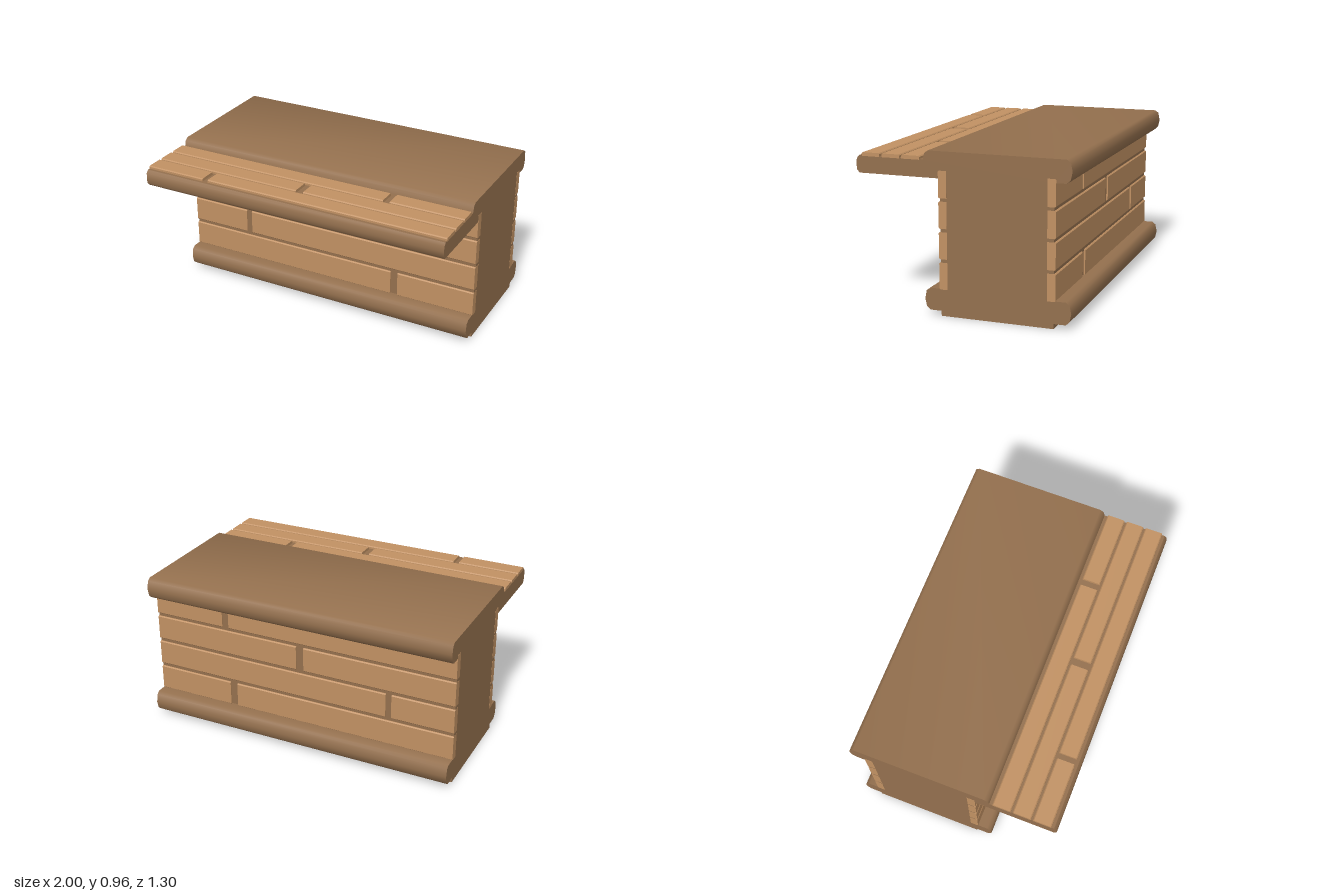
import * as THREE from 'three';
import { toCreasedNormals } from 'three/addons/utils/BufferGeometryUtils.js';

const stone = new THREE.MeshStandardMaterial({ color: 0x94704e });
stone.name = 'dark stone';
const brick = new THREE.MeshStandardMaterial({ color: 0xc19163 });
brick.name = 'light brick';

// Extrudes a cross-section of [z, y] points along x, from x0 to x1.
function prism(points, x0, x1) {
  const shape = new THREE.Shape(points.map(([z, y]) => new THREE.Vector2(-z, y)));
  const geometry = new THREE.ExtrudeGeometry(shape, { depth: x1 - x0, bevelEnabled: false });
  return geometry.rotateY(Math.PI / 2).translate(x0, 0, 0);
}

// Brick cross-section: a is the row direction, b runs from the buried to the exposed face.
function brickSection(a0, a1, b0, b1) {
  const c = 0.006, s = Math.sign(b1 - b0);
  return [[a0, b0], [a1, b0], [a1, b1 - s * c], [a1 - c, b1], [a0 + c, b1], [a0, b1 - s * c]];
}

// One row of two bricks with a joint between them.
function addRow(group, name, section, [j0, j1]) {
  for (const [x0, x1] of [[-1, j0], [j1, 1]]) {
    const mesh = new THREE.Mesh(prism(section, x0, x1), brick);
    mesh.name = name;
    group.add(mesh);
  }
}

export function createModel() {
  const model = new THREE.Group();
  model.name = 'brickWall';

  // Core with base moulding, front ledge and rounded coping
  const profile = [
    [0.13, 0], [0.13, 0.03],
    [0.2, 0.03], [0.222, 0.05], [0.232, 0.096], [0.222, 0.145], [0.2, 0.162],
    [0.13, 0.162], [0.13, 0.807],
    [0.633, 0.807], [0.648, 0.825], [0.652, 0.858], [0.648, 0.892], [0.633, 0.91],
    [0.232, 0.91], [0.222, 0.947], [0.2, 0.963],
    [-0.62, 0.963], [-0.642, 0.947], [-0.652, 0.897], [-0.642, 0.85], [-0.62, 0.83],
    [-0.55, 0.83], [-0.55, 0.162],
    [-0.62, 0.162], [-0.642, 0.145], [-0.652, 0.096], [-0.642, 0.05], [-0.62, 0.03],
    [-0.55, 0.03], [-0.55, 0],
  ];
  const core = new THREE.Mesh(toCreasedNormals(prism(profile, -0.999, 0.999), 0.75), stone);
  core.name = 'core';
  model.add(core);

  // Brick courses on the front and back faces
  const courses = [
    { y: [0.158, 0.318], joint: [0.443, 0.491] },
    { y: [0.338, 0.497], joint: [-0.605, -0.568] },
    { y: [0.517, 0.675], joint: [-0.027, 0.022] },
    { y: [0.694, 0.852], joint: [0.487, 0.53] },
  ];
  const flip = (points) => points.map(([a, b]) => [b, a]);
  const front = new THREE.Group();
  front.name = 'frontBricks';
  const back = new THREE.Group();
  back.name = 'backBricks';
  for (const { y, joint } of courses) {
    addRow(front, 'frontBrick', flip(brickSection(...y, 0.09, 0.14)), joint);
    addRow(back, 'backBrick', flip(brickSection(...y, -0.51, -0.56)), joint);
  }

  // Paving rows on top of the ledge
  const paving = new THREE.Group();
  paving.name = 'ledgeBricks';
  const rows = [
    { z: [0.253, 0.365], joint: [0.487, 0.53] },
    { z: [0.379, 0.49], joint: [-0.027, 0.022] },
    { z: [0.504, 0.615], joint: [-0.605, -0.568] },
  ];
  for (const { z, joint } of rows) {
    addRow(paving, 'ledgeBrick', brickSection(...z, 0.906, 0.928), joint);
  }

  model.add(front, back, paving);
  return model;
}
